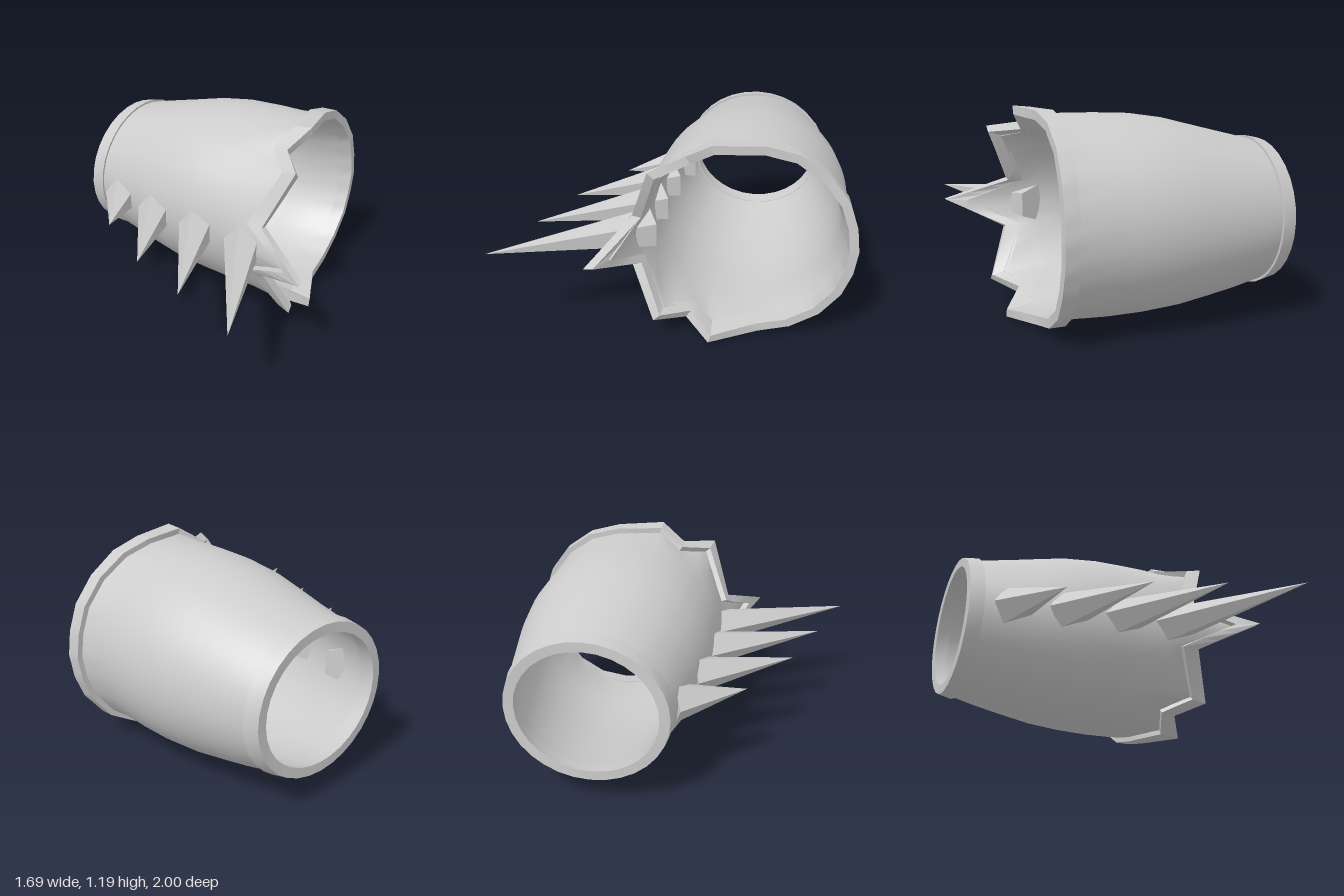
import * as THREE from 'three';
import { toCreasedNormals } from 'three/addons/utils/BufferGeometryUtils.js';

const V = (x, y, z) => new THREE.Vector3(x, y, z);

// Closed tube wall: every column is a closed loop of points, columns run around the arm
function sweep(columns, crease) {
  const n = columns.length, m = columns[0].length, pos = [], idx = [];
  columns.forEach(c => c.forEach(p => pos.push(p.x, p.y, p.z)));
  for (let j = 0; j < n; j++) {
    for (let i = 0; i < m; i++) {
      const a = j * m + i, b = j * m + (i + 1) % m;
      const k = ((j + 1) % n) * m, c = k + (i + 1) % m, d = k + i;
      idx.push(a, b, c, a, c, d);
    }
  }
  const g = new THREE.BufferGeometry();
  g.setAttribute('position', new THREE.Float32BufferAttribute(pos, 3));
  g.setIndex(idx);
  return toCreasedNormals(g, crease);
}

// Outer front edge of the jagged rim: x, y, z, band width, inward step of the band's back edge
const RIM = [
  [0.84, 0.585, 0.45, 0.12, 0.08],
  [0.51, 0.73, 0.23, 0.09, 0.01],
  [0.65, 1.055, 0.13, 0.09, 0.035],
  [0.51, 1.09, -0.06, 0.09, 0.01],
  [0.59, 1.19, -0.2, 0.1, 0.01],
  [0.555, 1.18, -0.48, 0.1, 0],
  [0.555, 1.135, -0.66, 0.09, 0],
  [0.565, 1.025, -0.82, 0.08, 0],
  [0.58, 0.88, -0.93, 0.08, 0],
  [0.585, 0.73, -0.982, 0.08, 0],
  [0.59, 0.59, -1.0, 0.08, 0],
  [0.585, 0.45, -0.982, 0.08, 0],
  [0.58, 0.31, -0.93, 0.08, 0],
  [0.565, 0.165, -0.82, 0.08, 0],
  [0.555, 0.065, -0.66, 0.09, 0],
  [0.555, 0.025, -0.48, 0.1, 0],
  [0.65, 0.0, -0.2, 0.13, 0.01],
  [0.54, 0.095, -0.07, 0.09, 0.01],
  [0.65, 0.14, 0.11, 0.08, 0.03],
  [0.53, 0.43, 0.23, 0.1, 0.01],
];

// Body cross-sections: x, centre y, centre z, radius y, radius z
const BODY = [
  [-0.75, 0.57, -0.475, 0.412, 0.445],
  [-0.55, 0.573, -0.457, 0.458, 0.491],
  [-0.4, 0.577, -0.443, 0.491, 0.523],
  [-0.2, 0.585, -0.428, 0.533, 0.562],
  [0, 0.592, -0.417, 0.555, 0.582],
  [0.2, 0.593, -0.4, 0.562, 0.586],
  [0.35, 0.595, -0.385, 0.561, 0.586],
];

// Spikes: base centre and tip
const SPIKES = [
  [V(-0.61, 0.55, -0.03), V(-0.435, 0.55, 0.368)],
  [V(-0.3, 0.558, 0.05), V(-0.043, 0.56, 0.64)],
  [V(0.03, 0.567, 0.1), V(0.328, 0.57, 0.81)],
  [V(0.36, 0.575, 0.14), V(0.725, 0.585, 1.0)],
];

// Straight runs between the rim corners, each with its angle and outward direction
function rimStations(steps) {
  const out = [];
  RIM.forEach((a, k) => {
    const b = RIM[(k + 1) % RIM.length];
    for (let s = 0; s < steps; s++) {
      const [x, y, z, width, inset] = a.map((v, i) => v + (b[i] - v) * s / steps);
      const dir = V(0, y - 0.59, z + 0.39).normalize();
      const angle = Math.atan2((y - 0.59) / 0.56, (z + 0.39) / 0.585);
      const front = V(x, y, z);
      const back = front.clone().addScaledVector(dir, -inset);
      back.x -= width;
      out.push({ front, back, dir, angle });
    }
  });
  return out;
}

// Point on an ellipse around the arm, leaning forward at the narrow end
function ringPoint(x, cy, cz, ry, rz, angle, lean = 0) {
  return V(x - lean * Math.cos(angle), cy + ry * Math.sin(angle), cz + rz * Math.cos(angle));
}

export function createModel() {
  const group = new THREE.Group();
  const metal = new THREE.MeshStandardMaterial({ color: 0xcccccc });
  metal.name = 'light grey metal';
  const add = (name, geometry) => {
    const mesh = new THREE.Mesh(geometry, metal);
    mesh.name = name;
    group.add(mesh);
  };
  const stations = rimStations(3);
  const inward = (p, dir, d, dx = 0) => {
    const q = p.clone().addScaledVector(dir, -d);
    q.x += dx;
    return q;
  };

  // Hollow barrel-shaped cuff
  add('cuffBody', sweep(stations.map(({ back, dir, angle }) => {
    const wall = t => BODY.map(([x, cy, cz, ry, rz], i) =>
      ringPoint(x, cy, cz, ry - t, rz - t, angle, i === 0 ? 0.04 : 0));
    return [...wall(0), inward(back, dir, 0.032, 0.02),
      inward(back, dir, 0.05, 0.02), ...wall(0.04).reverse()];
  }), 0.8));

  // Jagged band round the wide opening
  add('jaggedRim', sweep(stations.map(({ front, back, dir }) => [
    back, front, inward(front, dir, 0.05), inward(back, dir, 0.055),
  ]), 0.4));

  // Plain band round the narrow opening
  const narrow = [];
  for (let j = 0; j < 32; j++) {
    const a = j / 32 * Math.PI * 2;
    narrow.push([
      [-0.81, 0.415, 0.452], [-0.725, 0.432, 0.466], [-0.725, 0.375, 0.405], [-0.81, 0.36, 0.395],
    ].map(([x, ry, rz]) => ringPoint(x, 0.57, -0.475, ry, rz, a, 0.04)));
  }
  add('narrowRim', sweep(narrow, 0.4));

  // Row of five-sided spikes, growing toward the wide end
  SPIKES.forEach(([base, tip], i) => {
    const axis = tip.clone().sub(base);
    const h = axis.length();
    axis.normalize();
    const side = V(0, 1, 0).cross(axis).normalize();
    const down = side.clone().cross(axis);
    const g = new THREE.ConeGeometry(0.118, h, 5, 1);
    // one base corner points toward the narrow end
    g.rotateY(-Math.PI / 2).translate(0, h / 2, 0);
    g.applyMatrix4(new THREE.Matrix4().makeBasis(side, axis, down).setPosition(base));
    add('spike' + (i + 1), toCreasedNormals(g, 0.1));
  });
  return group;
}
